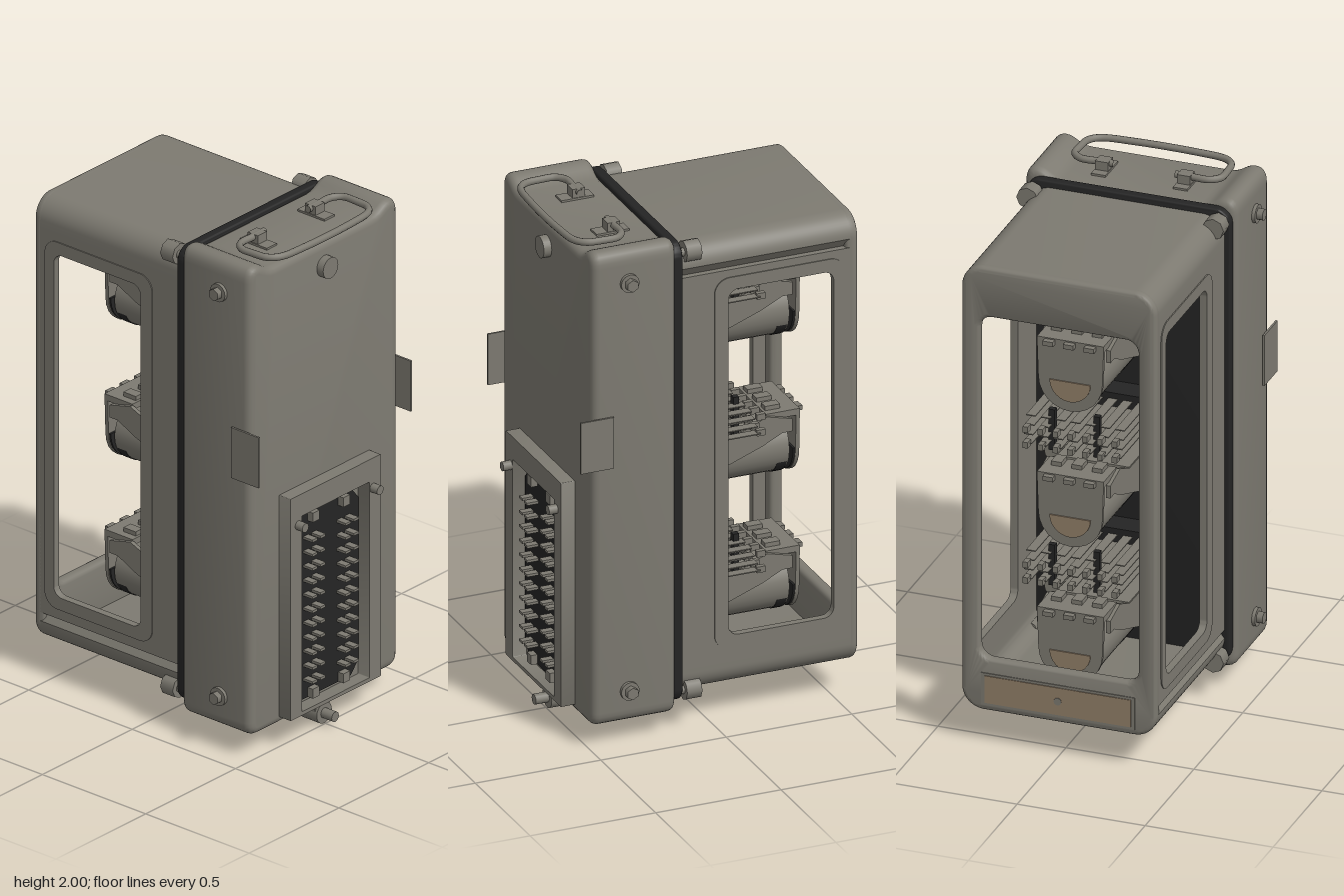
import * as THREE from 'three';
import { toCreasedNormals } from 'three/addons/utils/BufferGeometryUtils.js';

export function createModel() {
  const root = new THREE.Group();
  root.name = 'plugInRelay';
  const mat = (name, color) => {
    const m = new THREE.MeshStandardMaterial({ color });
    m.name = name;
    return m;
  };
  const grey = mat('warmGrey', 0x7d7a71);
  const dark = mat('darkRubber', 0x242424);
  const brown = mat('brownLabel', 0x927f68);

  const add = (name, geo, m = grey, parent = root) => {
    const mesh = new THREE.Mesh(geo, m);
    mesh.name = name;
    parent.add(mesh);
    return mesh;
  };
  const box = (name, x0, x1, y0, y1, z0, z1, m = grey, parent = root) =>
    add(name, new THREE.BoxGeometry(x1 - x0, y1 - y0, z1 - z0)
      .translate((x0 + x1) / 2, (y0 + y1) / 2, (z0 + z1) / 2), m, parent);
  // Cylinder lying along x or z
  const rod = (name, axis, r, a0, a1, p, y, sides = 16, m = grey, parent = root, r1 = r) => {
    const g = new THREE.CylinderGeometry(r1, r, a1 - a0, sides);
    if (axis === 'x') g.rotateZ(-Math.PI / 2).translate((a0 + a1) / 2, y, p);
    else g.rotateX(Math.PI / 2).translate(p, y, (a0 + a1) / 2);
    return add(name, g, m, parent);
  };
  const polygon = (pts) => new THREE.Shape(pts.map(([u, v]) => new THREE.Vector2(u, v)));
  const roundRect = (x0, x1, y0, y1, r, Type = THREE.Shape) => {
    const s = new Type();
    s.moveTo(x0 + r, y0);
    s.absarc(x1 - r, y0 + r, r, -Math.PI / 2, 0);
    s.absarc(x1 - r, y1 - r, r, 0, Math.PI / 2);
    s.absarc(x0 + r, y1 - r, r, Math.PI / 2, Math.PI);
    s.absarc(x0 + r, y0 + r, r, Math.PI, Math.PI * 1.5);
    return s;
  };
  const extrude = (shape, a0, a1, bevel = 0) => {
    const g = new THREE.ExtrudeGeometry(shape, {
      depth: a1 - a0 - 2 * bevel, bevelEnabled: bevel > 0, bevelSize: bevel, bevelOffset: -bevel,
      bevelThickness: bevel, bevelSegments: 4, curveSegments: 6,
    });
    return toCreasedNormals(g.translate(0, 0, a0 + bevel), 0.6);
  };
  const extrudeX = (...args) => extrude(...args).rotateY(Math.PI / 2);

  // Base housing, with a shallow dip in its top for the handle
  const body = new THREE.Shape();
  body.moveTo(-0.36, 0.09);
  body.lineTo(0.36, 0.09);
  body.quadraticCurveTo(0.415, 0.09, 0.415, 0.145);
  body.lineTo(0.415, 1.93);
  body.quadraticCurveTo(0.415, 1.99, 0.37, 1.99);
  body.bezierCurveTo(0.33, 1.99, 0.32, 1.955, 0.27, 1.955);
  body.lineTo(-0.27, 1.955);
  body.bezierCurveTo(-0.32, 1.955, -0.33, 1.99, -0.37, 1.99);
  body.quadraticCurveTo(-0.415, 1.99, -0.415, 1.93);
  body.lineTo(-0.415, 0.145);
  body.quadraticCurveTo(-0.415, 0.09, -0.36, 0.09);
  add('baseHousing', extrudeX(body, 0.16, 0.495, 0.03));
  add('gasket', extrudeX(roundRect(-0.4, 0.4, 0.12, 1.965, 0.06), 0.128, 0.168, 0.008), dark);

  // Cover: rounded end frame, two caps, two side panels with windows
  const end = roundRect(-0.38, 0.38, 0.14, 1.94, 0.085);
  end.holes.push(roundRect(-0.31, 0.31, 0.35, 1.74, 0.05, THREE.Path));
  add('coverEndFrame', extrudeX(end, -0.58, -0.53, 0.018));
  const cap = new THREE.Shape();
  cap.moveTo(0.38, 0);
  cap.absarc(0.295, 0.035, 0.085, 0, Math.PI / 2);
  cap.absarc(-0.295, 0.035, 0.085, Math.PI / 2, Math.PI);
  cap.lineTo(-0.38, 0);
  cap.lineTo(-0.355, 0);
  cap.absarc(-0.295, 0.035, 0.06, Math.PI, Math.PI / 2, true);
  cap.absarc(0.295, 0.035, 0.06, Math.PI / 2, 0, true);
  cap.lineTo(0.355, 0);
  add('coverTop', extrudeX(cap, -0.55, 0.135)).position.y = 1.82;
  const bottom = add('coverBottom', extrudeX(cap, -0.55, 0.135));
  bottom.rotation.x = Math.PI;
  bottom.position.y = 0.26;
  for (const s of [-1, 1]) {
    const panel = roundRect(-0.55, 0.135, 0.26, 1.82, 0.001);
    panel.holes.push(roundRect(-0.48, -0.06, 0.35, 1.74, 0.04, THREE.Path));
    add('coverSide', extrude(panel, -0.0125, 0.0125)).position.z = s * 0.3675;
    const rim = roundRect(-0.525, -0.005, 0.3, 1.79, 0.06);
    rim.holes.push(roundRect(-0.48, -0.06, 0.35, 1.74, 0.04, THREE.Path));
    add('windowRim', extrude(rim, -0.004, 0.004)).position.z = s * 0.38;
  }
  box('labelFrame', -0.583, -0.578, 0.165, 0.295, -0.3, 0.3);
  box('labelPlate', -0.586, -0.58, 0.175, 0.285, -0.285, 0.285, brown);
  rod('labelStud', 'x', 0.015, -0.588, -0.58, 0, 0.23, 12);

  // Corner clamp screws, side bolts and side tabs
  for (const s of [-1, 1]) {
    for (const y of [0.16, 1.92]) {
      rod('clampNut', 'x', 0.042, 0.053, 0.113, s * 0.363, y, 8);
      rod('clampShaft', 'x', 0.016, 0.1, 0.175, s * 0.368, y, 12);
    }
    for (const y of [0.22, 1.86]) {
      rod('boltWasher', 'z', 0.036, Math.min(s * 0.41, s * 0.428), Math.max(s * 0.41, s * 0.428), 0.35, y, 20);
      rod('boltHead', 'z', 0.024, Math.min(s * 0.42, s * 0.452), Math.max(s * 0.42, s * 0.452), 0.35, y, 6);
    }
    box('sideTab', 0.415, 0.548, 1.13, 1.335, s * 0.424 - 0.004, s * 0.424 + 0.004);
  }
  rod('faceButton', 'x', 0.042, 0.49, 0.526, 0, 1.86, 24);

  // Carrying handle and its straps
  const path = new THREE.CatmullRomCurve3([[0.31, -0.12], [0.31, -0.18], [0.31, -0.25], [0.34, -0.285],
    [0.4, -0.288], [0.46, -0.28], [0.493, -0.245], [0.508, -0.12], [0.508, 0.12], [0.493, 0.245],
    [0.46, 0.28], [0.4, 0.288], [0.34, 0.285], [0.31, 0.25], [0.31, 0.18], [0.31, 0.12]]
    .map(([x, z]) => new THREE.Vector3(x, 1.986, z)));
  add('handle', new THREE.TubeGeometry(path, 120, 0.0135, 10));
  for (const z of [-0.16, 0.16]) {
    box('handleStrap', 0.25, 0.38, 1.95, 1.963, z - 0.028, z + 0.028);
    box('handleLoop', 0.285, 0.335, 1.96, 1.998, z - 0.025, z + 0.025);
  }

  // Connector: raised frame, dark block and rows of pins
  const frame = roundRect(-0.252, 0.252, 0.12, 1.02, 0.003);
  frame.holes.push(roundRect(-0.188, 0.188, 0.135, 0.93, 0.003, THREE.Path));
  add('connectorFrame', extrudeX(frame, 0.48, 0.55));
  const block = polygon([[-0.135, 0.15], [0.135, 0.15], [0.178, 0.2], [0.178, 0.86],
    [0.135, 0.91], [-0.135, 0.91], [-0.178, 0.86], [-0.178, 0.2]]);
  add('connectorBlock', extrudeX(block, 0.485, 0.505), dark);
  for (let i = 0; i < 11; i++) {
    for (const z of [-0.115, -0.07, 0.07, 0.115]) {
      const y = 0.23 + i * 0.0575;
      box('contactPin', 0.5, 0.55, y - 0.005, y + 0.005, z - 0.014, z + 0.014);
    }
  }
  for (const z of [-0.085, 0.085]) for (const y of [0.17, 0.885])
    box('connectorKey', 0.5, 0.53, y - 0.019, y + 0.019, z - 0.019, z + 0.019);
  for (const z of [-0.208, 0.208]) rod('guideStud', 'x', 0.018, 0.54, 0.585, z, 0.9, 16);

  // Locking pin under the base
  rod('lockPinTip', 'x', 0.012, 0.02, 0.09, 0, 0.045, 16, grey, root, 0.03);
  rod('lockPinHead', 'x', 0.03, 0.09, 0.21, 0, 0.045);
  rod('lockPinShaft', 'x', 0.016, 0.2, 0.548, 0, 0.045);
  rod('lockPinCollar', 'x', 0.042, 0.41, 0.495, 0, 0.045, 20);
  rod('lockPinEnd', 'x', 0.02, 0.495, 0.548, 0, 0.045);
  box('lockPinBracket', 0.42, 0.485, 0.045, 0.1, -0.04, 0.04);

  // Three electromagnets with their contact springs
  const heelShape = polygon([[-0.42, 0.255], [-0.32, 0.28], [-0.22, 0.238], [0.13, 0.235],
    [0.13, 0.01], [-0.06, 0.075], [-0.3, 0.165], [-0.38, 0.205], [-0.42, 0.205]]);
  const face = new THREE.Shape();
  face.moveTo(0.13, 0.27);
  face.lineTo(-0.13, 0.27);
  face.lineTo(-0.125, 0.125);
  face.absarc(0, 0.125, 0.125, Math.PI, Math.PI * 2);
  face.lineTo(0.13, 0.27);
  const halfDisc = (r, y) => {
    const s = new THREE.Shape();
    s.moveTo(r, y);
    s.lineTo(-r, y);
    s.absarc(0, y, r, Math.PI, Math.PI * 2);
    return s;
  };
  for (const y of [0.25, 0.8, 1.35]) {
    const unit = new THREE.Group();
    unit.name = 'electromagnet';
    unit.position.y = y;
    root.add(unit);
    rod('coil', 'x', 0.115, -0.42, 0.13, 0, 0.118, 28, grey, unit);
    rod('frontCollar', 'x', 0.113, -0.415, -0.375, 0, 0.112, 28, dark, unit);
    rod('rearCollar', 'x', 0.113, -0.17, 0.02, 0, 0.112, 28, dark, unit);
    rod('coilEnd', 'x', 0.045, -0.08, 0.03, -0.2, 0.18, 16, grey, unit);
    add('armatureFace', extrudeX(face, -0.455, -0.44), grey, unit);
    add('armatureBacking', extrudeX(halfDisc(0.122, 0.125), -0.44, -0.432), dark, unit);
    add('armatureLabel', extrudeX(halfDisc(0.08, 0.12), -0.46, -0.455), brown, unit);
    box('armatureTop', -0.455, -0.32, 0.26, 0.285, -0.13, 0.13, grey, unit);
    for (const z of [-0.08, 0, 0.08]) {
      box('armatureScrew', -0.39, -0.33, 0.28, 0.302, z - 0.02, z + 0.02, grey, unit);
      box('armatureLip', -0.478, -0.44, 0.262, 0.28, z - 0.02, z + 0.02, grey, unit);
    }
    for (const z of [-0.135, 0.135])
      add('heelPlate', extrude(heelShape, -0.008, 0.008), grey, unit).position.z = z;
    box('heelTop', -0.22, 0.13, 0.225, 0.24, -0.14, 0.14, grey, unit);
    box('springClampBlock', 0.03, 0.15, 0.25, 0.4, -0.27, 0.13, dark, unit);
    for (let i = 0; i < 7; i++) {
      const z = -0.25 + i * 0.058;
      [0.28, 0.31, 0.343, 0.375].forEach((h, k) => {
        box('contactSpring', -0.24 + k * 0.012, 0.04, h - 0.002, h + 0.002, z - 0.018, z + 0.018, grey, unit);
        if (k % 2 === 0) box('contactTip', -0.262, -0.228, h - 0.012, h + 0.012, z - 0.01, z + 0.01, grey, unit);
      });
    }
    for (const z of [-0.175, 0])
      box('pusherPost', -0.188, -0.165, 0.24, 0.405, z - 0.012, z + 0.012, dark, unit);
  }
  return root;
}
